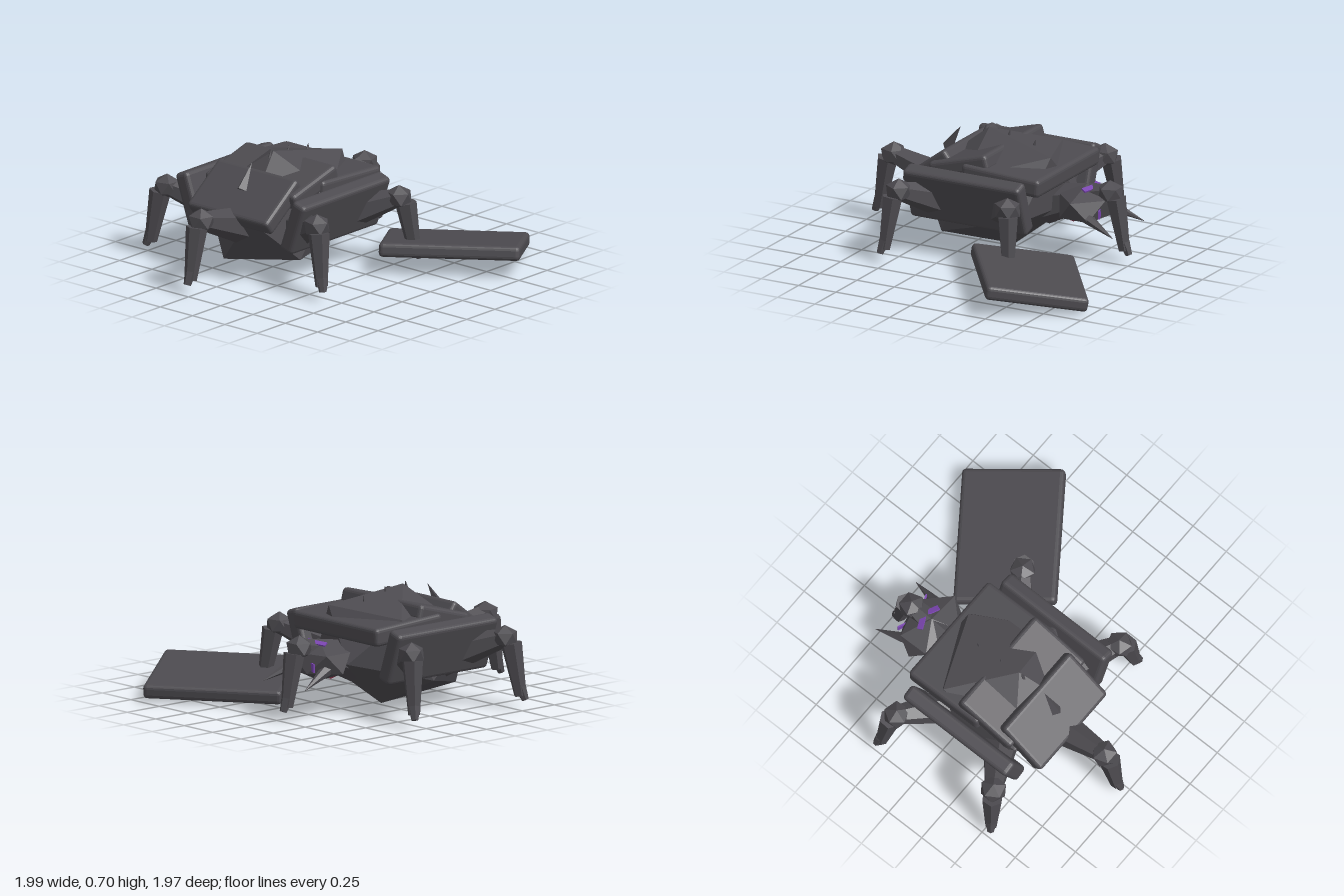
import * as THREE from 'three';
import { RoundedBoxGeometry } from 'three/addons/geometries/RoundedBoxGeometry.js';
import { ConvexGeometry } from 'three/addons/geometries/ConvexGeometry.js';

const V = (x, y, z) => new THREE.Vector3(x, y, z);
const material = (name, color, flatShading = true) => {
  const m = new THREE.MeshStandardMaterial({ color, flatShading });
  m.name = name;
  return m;
};

// Twenty-sided gem: two poles and two staggered rings of five, sheared along z
function gemGeometry(rx, ry, rz, turn = 0, lean = 0, drop = 0) {
  const pole = V(0, ry, lean);
  const points = [pole, pole.clone().negate()];
  for (let i = 0; i < 5; i++) {
    const a = turn + (i * Math.PI * 2) / 5;
    const z = rz * Math.cos(a);
    const p = V(-rx * Math.sin(a), -0.447 * ry - drop * z, z - 0.447 * lean);
    points.push(p, p.clone().negate());
  }
  return new ConvexGeometry(points);
}

export function createModel() {
  const model = new THREE.Group();
  const shell = material('charcoal shell', 0x4d4b50);
  const purple = material('purple eyes', 0x7a45b0);
  const red = material('red core', 0xb8405f);

  const add = (parent, name, geometry, mat, position, rotation = [0, 0, 0]) => {
    const mesh = new THREE.Mesh(geometry, mat);
    mesh.name = name;
    mesh.position.set(...position);
    mesh.rotation.set(...rotation);
    parent.add(mesh);
    return mesh;
  };

  // Tapered limb from point a to point b
  const limb = (parent, name, a, b, ra, rb, sides) => {
    const d = b.clone().sub(a);
    const mesh = add(parent, name, new THREE.CylinderGeometry(rb, ra, d.length(), sides), shell,
      a.clone().add(b).multiplyScalar(0.5).toArray());
    mesh.quaternion.setFromUnitVectors(V(0, 1, 0), d.normalize());
    return mesh;
  };
  const slab = (w, h, d) => new RoundedBoxGeometry(w, h, d, 2, 0.025);

  // The creature is built around its own axis
  const creature = new THREE.Group();
  creature.name = 'creature';
  creature.position.set(-0.29, 0, 0.115);
  model.add(creature);

  add(creature, 'body', gemGeometry(0.4, 0.345, 0.45, 0.297, 0.085, 0.26), shell, [0, 0.345, 0]);
  add(creature, 'core', gemGeometry(0.07, 0.07, 0.07), red, [0, 0.27, -0.48]);

  // Overlapping back plates
  add(creature, 'rearBackPlate', slab(0.74, 0.11, 0.52), shell, [0, 0.505, -0.19], [-0.05, 0, 0]);
  add(creature, 'middleBackPlate', slab(0.7, 0.1, 0.4), shell, [0, 0.54, 0.1], [0.27, 0, 0]);
  add(creature, 'frontBackPlate', slab(0.62, 0.1, 0.36), shell, [0, 0.47, 0.335], [0.645, 0, 0]);

  // Leaning side plates
  for (const s of [-1, 1]) {
    add(creature, 'sidePlate', slab(0.1, 0.33, 0.78), shell, [s * 0.405, 0.375, 0], [0, 0, -s * 0.33]);
  }

  // Spines along the back
  limb(creature, 'frontSpine', V(0, 0.52, 0.365), V(0, 0.665, 0.275), 0.035, 0, 4);
  for (const [z, y] of [[0.105, 0.7], [-0.055, 0.69], [-0.225, 0.66]]) {
    limb(creature, 'spine', V(0, y - 0.08, z + 0.02), V(0, y, z), 0.02, 0.002, 5);
  }

  // Six radial legs
  const corner = 0.57;
  const angles = [0, Math.PI, corner, -corner, Math.PI - corner, Math.PI + corner];
  angles.forEach((angle, i) => {
    const leg = new THREE.Group();
    leg.name = 'leg';
    // Corner legs point mostly sideways
    leg.rotation.y = i < 2 ? angle : angle + (Math.sin(angle) > 0 ? 1 : -1) * (Math.cos(angle) > 0 ? 1 : -1) * 0.44;
    const reach = i < 2 ? 0 : -0.04;
    limb(leg, 'upperLeg', V(0, 0.28, 0.28), V(0, 0.42, 0.725 + reach), 0.125, 0.055, 6);
    add(leg, 'knee', gemGeometry(0.075, 0.075, 0.075), shell, [0, 0.42, 0.725 + reach]);
    limb(leg, 'lowerLeg', V(0, 0.39, 0.765 + reach), V(0, 0.08, 0.82 + reach), 0.065, 0.037, 6);
    limb(leg, 'foot', V(0, 0.13, 0.82 + reach), V(0, 0.055, 0.85 + reach), 0.035, 0.022, 6);
    creature.add(leg);
  });

  // Head with downward horns and flat eyes, facing the rear
  const head = new THREE.Group();
  head.name = 'head';
  head.position.set(0, 0.33, -0.575);
  creature.add(head);
  add(head, 'skull', gemGeometry(0.215, 0.125, 0.16, 0.3), shell, [0, 0, 0]);
  for (const s of [-1, 1]) {
    limb(head, 'horn', V(s * 0.135, -0.03, -0.05), V(s * 0.187, -0.12, -0.27), 0.04, 0.002, 6);
    add(head, 'upperEye', new THREE.BoxGeometry(0.085, 0.009, 0.035), purple,
      [s * 0.048, 0.108, -0.035], [-0.4, -s * 0.35, -s * 0.25]);
    add(head, 'lowerEye', new THREE.BoxGeometry(0.07, 0.05, 0.009), purple,
      [s * 0.1, -0.015, -0.135], [0, s * 0.4, 0]);
  }

  // Loose plate resting beside the creature
  const loose = new THREE.Group();
  loose.name = 'loosePlate';
  loose.position.set(0.49, 0.108, -0.51);
  loose.rotation.set(-0.165, 0.62, 0, 'YXZ');
  add(loose, 'plate', slab(0.83, 0.085, 0.61), shell, [0, 0, 0]);
  limb(loose, 'plateStud', V(-0.34, -0.03, 0), V(-0.34, -0.07, 0), 0.025, 0.012, 6);
  model.add(loose);

  return model;
}
